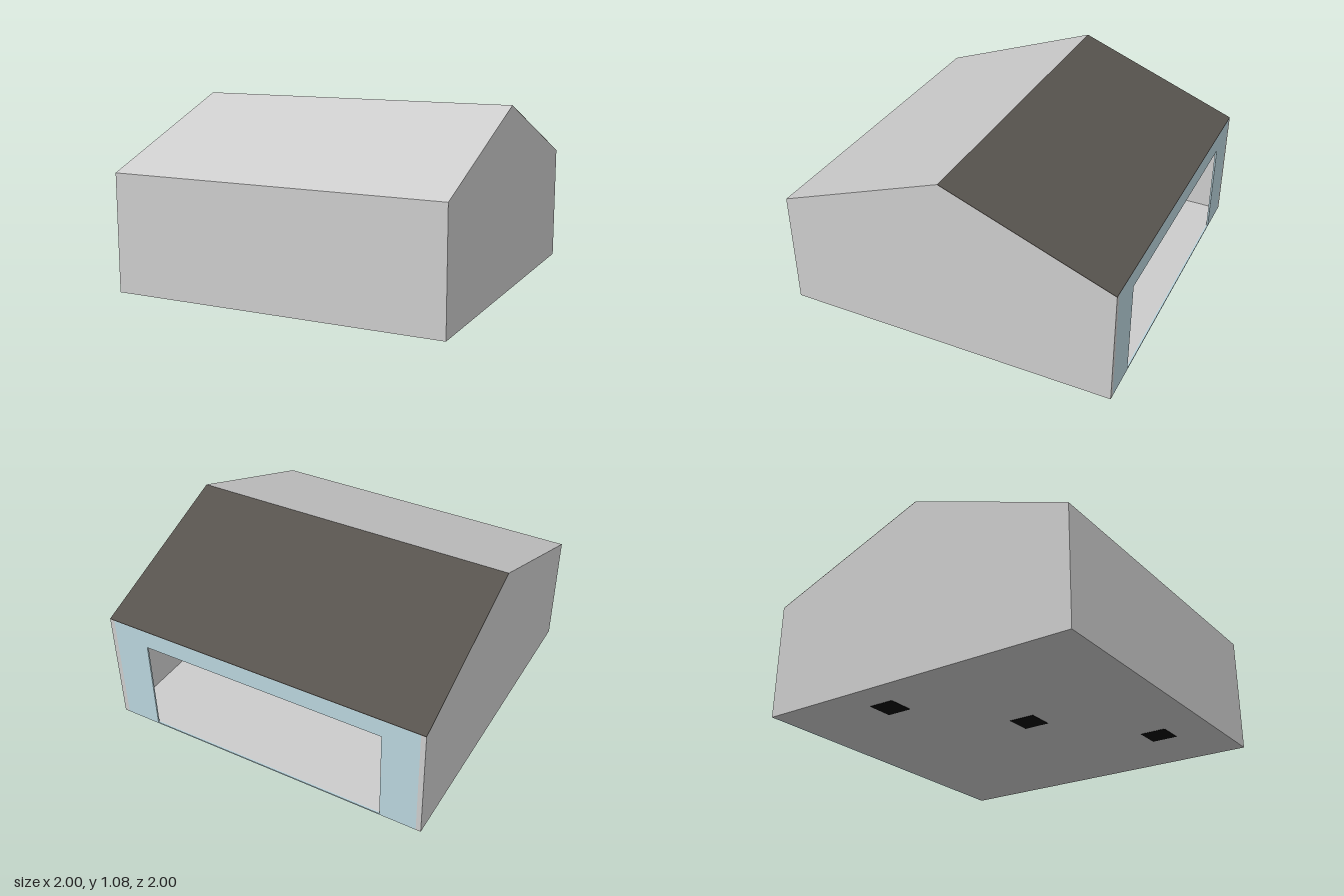
import * as THREE from 'three';

const material = (name, color) => new THREE.MeshStandardMaterial({ name, color });

// Polygon given as [z, y] points, extruded along x from x0 to x1
function prism(points, x0, x1) {
  const shape = new THREE.Shape(points.map(([z, y]) => new THREE.Vector2(-z, y)));
  return new THREE.ExtrudeGeometry(shape, { depth: x1 - x0, bevelEnabled: false })
    .rotateY(Math.PI / 2)
    .translate(x0, 0, 0);
}

// Box given by its lowest and highest corners
function slab([x0, y0, z0], [x1, y1, z1]) {
  return new THREE.BoxGeometry(x1 - x0, y1 - y0, z1 - z0)
    .translate((x0 + x1) / 2, (y0 + y1) / 2, (z0 + z1) / 2);
}

export function createModel() {
  const group = new THREE.Group();
  const grey = material('plaster grey', 0xcccccc);
  const dark = material('roof brown', 0x57534e);
  const blue = material('frame blue', 0xb9d4dc);
  const tan = material('ceiling tan', 0xd4b980);
  const black = material('footing black', 0x080808);
  const add = (name, geometry, mat) => {
    const mesh = new THREE.Mesh(geometry, mat);
    mesh.name = name;
    group.add(mesh);
  };

  const wall = 0.03, eave = 0.7, ridge = 1.08, skin = 0.004, base = 0.002;

  // Gable walls at both ends
  const gable = [[-1, base], [-1, eave - skin], [0, ridge - skin], [1, eave - skin], [1, base]];
  add('leftGable', prism(gable, 1 - wall, 1), grey);
  add('rightGable', prism(gable, -1, -1 + wall), grey);

  // Closed front wall, floor and flat ceiling
  const inner = 1 - wall;
  add('frontWall', slab([-inner, base, inner], [inner, eave - skin, 1]), grey);
  add('floor', slab([-inner, base, -0.99], [inner, 0.01, inner]), grey);
  add('ceiling', slab([-inner, 0.685, -0.99], [inner, 0.695, inner]), tan);

  // Back frame around the wide opening
  const frame = new THREE.Shape([
    new THREE.Vector2(-inner, base), new THREE.Vector2(inner, base),
    new THREE.Vector2(inner, eave - skin), new THREE.Vector2(-inner, eave - skin),
  ]);
  frame.holes.push(new THREE.Path([
    new THREE.Vector2(-0.75, 0.01), new THREE.Vector2(-0.75, 0.585),
    new THREE.Vector2(0.75, 0.585), new THREE.Vector2(0.75, 0.01),
  ]));
  add('backFrame', new THREE.ExtrudeGeometry(frame, { depth: 0.01, bevelEnabled: false })
    .translate(0, 0, -1), blue);

  // Thin roof slopes, one colour on each side of the ridge
  for (const [name, s, mat] of [['frontRoof', 1, grey], ['backRoof', -1, dark]]) {
    add(name, prism([[s, eave], [0, ridge], [0, ridge - skin], [s, eave - skin]], -1, 1), mat);
  }

  // Square pads in a diagonal row under the floor
  for (const [x, z] of [[0.51, 0.67], [-0.11, 0.16], [-0.73, -0.35]]) {
    add('footingPad', slab([x - 0.078, 0, z - 0.078], [x + 0.078, 0.004, z + 0.078]), black);
  }
  return group;
}
